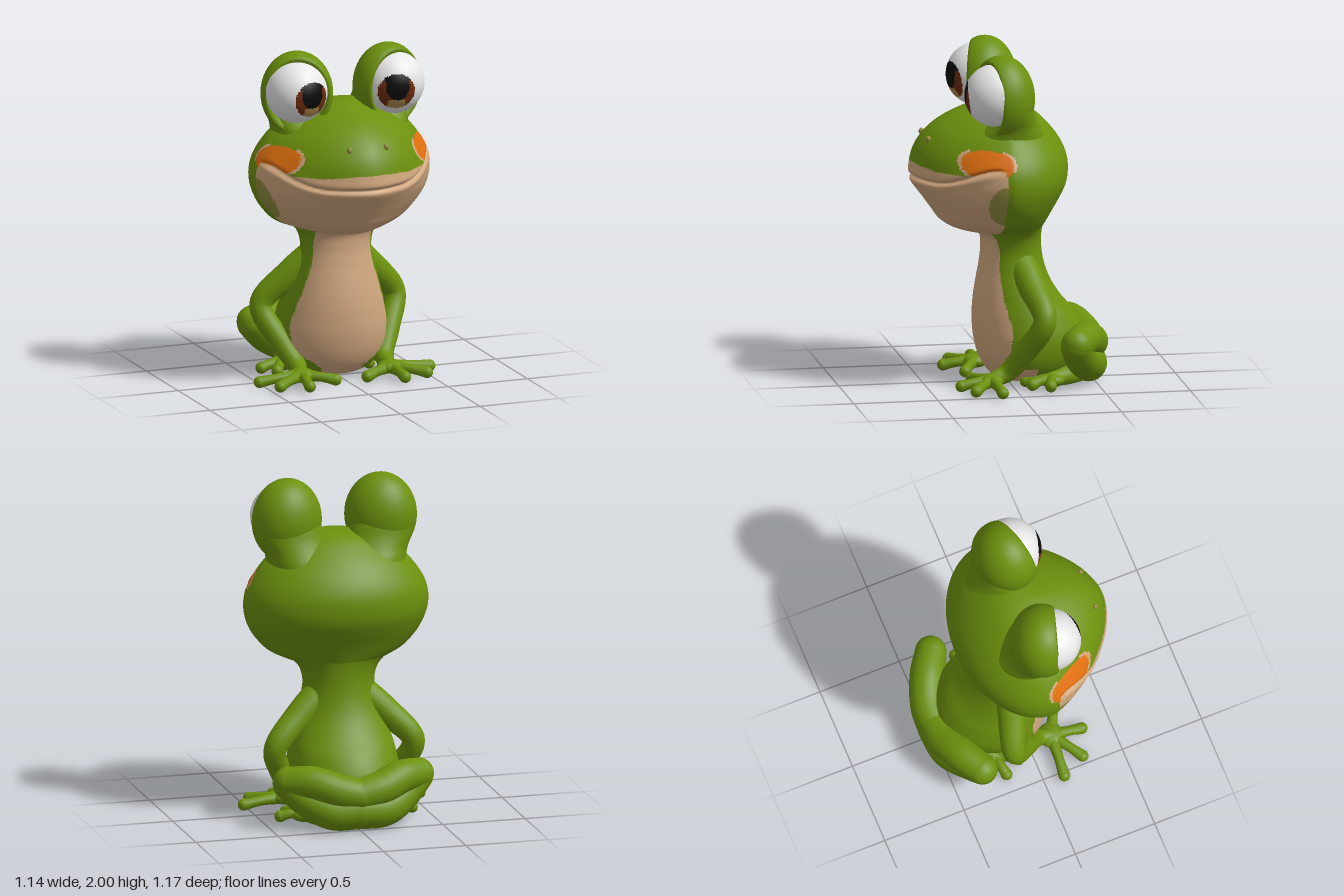
import * as THREE from 'three';
import { mergeGeometries } from 'three/addons/utils/BufferGeometryUtils.js';

const mat = (name, color) => Object.assign(new THREE.MeshStandardMaterial({ color }), { name });
const green = mat('skin green', 0x6c900d);
const tan = mat('belly tan', 0xd2a880);
const orange = mat('cheek orange', 0xe0700f);
const olive = mat('jaw olive', 0x908c3e);
const white = mat('eye white', 0xeeeeee);
const brown = mat('iris brown', 0x6e2c0c);
const amber = mat('iris amber', 0xb08a4c);
const black = mat('pupil black', 0x0a0a0a);

const { smoothstep } = THREE.MathUtils;
const bell = (d, w) => Math.exp(-((d / w) ** 2));
const spow = (v, p) => Math.sign(v) * Math.abs(v) ** p;

// Smooth interpolation through rows of numbers, t from 0 to 1
function sampleRows(rows, t) {
  const f = t * (rows.length - 1), i = Math.min(Math.floor(f), rows.length - 2), u = f - i;
  const at = k => rows[Math.max(0, Math.min(rows.length - 1, k))];
  return rows[i].map((_, c) => {
    const a = at(i - 1)[c], b = at(i)[c], d = at(i + 1)[c], e = at(i + 2)[c];
    return b + 0.5 * u * (d - a + u * (2 * a - 5 * b + 4 * d - e + u * (3 * (b - d) + e - a)));
  });
}

// Stacked closed rings; row = [y, half width, front z, back z, centre z]
function loft(rows, nRows, nSeg, pointed, shape) {
  const pos = [], index = [], v = new THREE.Vector3();
  for (let i = 0; i <= nRows; i++) {
    const [y, w, zf, zb, zc] = sampleRows(rows, i / nRows);
    for (let j = 0; j < nSeg; j++) {
      const a = (j / nSeg) * Math.PI * 2, c = Math.cos(a), s = Math.sin(a);
      if (s > 0) v.set(w * spow(c, pointed ? 1.13 : 1), y, zc + (zf - zc) * s ** (pointed ? 1.45 : 1));
      else v.set(w * c, y, zc + (zc - zb) * s);
      if (shape) shape(v, zc);
      pos.push(v.x, v.y, v.z);
      if (i < nRows) {
        const p = i * nSeg + j, q = i * nSeg + ((j + 1) % nSeg);
        index.push(p, p + nSeg, q, q, p + nSeg, q + nSeg);
      }
    }
  }
  const g = new THREE.BufferGeometry();
  g.setAttribute('position', new THREE.Float32BufferAttribute(pos, 3));
  g.setIndex(index);
  g.computeVertexNormals();
  return g;
}

// Sorts faces into material groups by a rule on the face centre
function paint(g, mats, pick) {
  const p = g.attributes.position, idx = g.index.array, lists = mats.map(() => []);
  for (let i = 0; i < idx.length; i += 3) {
    const t = [idx[i], idx[i + 1], idx[i + 2]];
    const mean = get => t.reduce((sum, k) => sum + p[get](k), 0) / 3;
    lists[mats.indexOf(pick(Math.abs(mean('getX')), mean('getY'), mean('getZ')))].push(...t);
  }
  g.clearGroups();
  let start = 0;
  lists.forEach((l, m) => { g.addGroup(start, l.length, m); start += l.length; });
  g.setIndex(lists.flat());
  return g;
}

// Round limb through points [x, y, z, radius], with rounded ends
function limb(points, s, n = 28, sides = 18) {
  const curve = new THREE.CatmullRomCurve3(points.map(p => new THREE.Vector3(p[0] * s, p[1], p[2])));
  const tube = new THREE.TubeGeometry(curve, n, 1, sides);
  const p = tube.attributes.position, v = new THREE.Vector3();
  for (let i = 0; i <= n; i++) {
    const c = curve.getPointAt(i / n);
    const r = sampleRows(points.map(q => [q[3]]), curve.getUtoTmapping(i / n))[0];
    for (let j = 0; j <= sides; j++) {
      const k = i * (sides + 1) + j;
      v.fromBufferAttribute(p, k).sub(c).multiplyScalar(r).add(c);
      p.setXYZ(k, v.x, v.y, v.z);
    }
  }
  const ends = [points[0], points.at(-1)].map(q =>
    new THREE.SphereGeometry(q[3], sides, 12).translate(q[0] * s, q[1], q[2]));
  return mergeGeometries([tube, ...ends]);
}

const ellipsoid = (x, y, z, rx, ry, rz, n = 40) =>
  new THREE.SphereGeometry(1, n, Math.round(n * 0.7)).scale(rx, ry, rz).translate(x, y, z);

// Height of the smile line, rising towards the cheeks
const mouthY = z => 1.245 + 0.112 * smoothstep(0.5 - z, 0, 0.38);

function headGeometry() {
  const rows = [
    [0.89, 0, 0, 0, 0], [0.897, 0.17, 0.17, -0.18, 0], [0.925, 0.27, 0.31, -0.2, 0.01],
    [0.98, 0.4, 0.402, -0.225, 0.03], [1.05, 0.475, 0.455, -0.26, 0.04], [1.12, 0.522, 0.505, -0.3, 0.05],
    [1.2, 0.55, 0.562, -0.338, 0.05], [1.28, 0.555, 0.58, -0.35, 0.05], [1.36, 0.535, 0.572, -0.342, 0.05],
    [1.44, 0.488, 0.54, -0.308, 0.05], [1.52, 0.42, 0.475, -0.25, 0.05], [1.59, 0.325, 0.375, -0.18, 0.05],
    [1.65, 0.215, 0.235, -0.1, 0.05], [1.682, 0.11, 0.14, -0.02, 0.055], [1.69, 0, 0.06, 0.06, 0.06]];
  const g = loft(rows, 140, 192, true, (v, zc) => {
    // lips and the groove between them
    const d = v.y - mouthY(v.z), fade = smoothstep(v.z, 0.08, 0.2);
    const push = fade * (0.006 * bell(d + 0.03, 0.024) + 0.005 * bell(d - 0.03, 0.025) - 0.026 * bell(d, 0.01));
    const len = Math.hypot(v.x, v.z - zc) || 1;
    v.x += (push * v.x) / len;
    v.z += (push * (v.z - zc)) / len;
  });
  return paint(g, [green, tan, orange, olive], (x, y, z) => {
    const d = y - mouthY(z);
    const cheek = (Math.abs(z - 0.195) / 0.143) ** 2.4 + (Math.abs(y - 1.387) / 0.076) ** 2.4;
    if (x > 0.3 && (d > 0 || z < 0.1) && cheek < 1) return orange;
    if (x > 0.3 && d > 0 && Math.abs(z - 0.195) > 0.09 && cheek < 1.35) return tan;
    if (d > 0) return z > 0.15 && y < Math.max(1.315 + 0.02 * smoothstep(z, 0.45, 0.58), mouthY(z) + 0.02) ? tan : green;
    if (z < 0.09) return green;
    return Math.hypot((z - 0.09) / 0.1, (y - 1.14) / 0.125) < 1 ? olive : tan;
  });
}

function bodyGeometry() {
  const rows = [
    [0.01, 0, -0.1, -0.1, -0.1], [0.02, 0.16, 0.05, -0.24, -0.1], [0.07, 0.26, 0.12, -0.36, -0.1],
    [0.16, 0.315, 0.17, -0.43, -0.1], [0.28, 0.332, 0.198, -0.46, -0.1], [0.4, 0.315, 0.204, -0.402, -0.09],
    [0.5, 0.288, 0.198, -0.318, -0.07], [0.6, 0.255, 0.183, -0.255, -0.04], [0.7, 0.225, 0.165, -0.217, -0.02],
    [0.8, 0.213, 0.155, -0.2, -0.02], [0.89, 0.24, 0.168, -0.2, -0.02], [0.96, 0.31, 0.25, -0.21, -0.02]];
  const belly = [[0.15], [0.27], [0.3], [0.3], [0.275], [0.245], [0.215], [0.19], [0.18], [0.18], [0.2]];
  return paint(loft(rows, 90, 112, false), [green, tan], (x, y, z) => {
    if ((y < 0.1 && x < 0.13 && z > -0.2) || (y < 0.12 && z > -0.13 && z < -0.01)) return tan;
    return y > 0.08 && z > -0.02 && x < sampleRows(belly, Math.min(1, Math.max(0, (y - 0.08) / 0.9)))[0] ? tan : green;
  });
}

// Raised eye socket: a deep cup open to the front
function socketGeometry(s) {
  const pts = [];
  for (let i = 0; i <= 28; i++) {
    const a = (i / 28) * 2.0;
    pts.push(new THREE.Vector2(Math.sin(a), -Math.cos(a)));
  }
  pts.push(new THREE.Vector2(0.87, 0.45), new THREE.Vector2(0.8, 0.4), new THREE.Vector2(0.72, 0.25));
  return new THREE.LatheGeometry(pts, 48).rotateX(Math.PI / 2).scale(0.213, 0.25, 0.187)
    .rotateY(s * 0.3).translate(s * 0.285, 1.75, 0.08);
}

// Flared stalk that carries the socket down into the head
function stalkGeometry(s) {
  const rows = [
    [1.46, 0.22, 0.28, -0.21, 0.03], [1.53, 0.21, 0.24, -0.18, 0.03], [1.59, 0.2, 0.17, -0.143, 0.03],
    [1.65, 0.198, 0.11, -0.116, 0.03], [1.71, 0.192, 0.08, -0.1, 0.03], [1.78, 0.15, 0.06, -0.08, 0.02]];
  return loft(rows, 30, 48, false, v => { v.x += s * (0.2 + 0.085 * smoothstep(v.y, 1.48, 1.72)); });
}

function eyeGeometry(s) {
  return paint(ellipsoid(s * 0.305, 1.77, 0.12, 0.185, 0.185, 0.185, 90), [white, brown, amber, black], (x, y, z) => {
    const dx = x - 0.268, dy = y - 1.75;
    if (z < 0.15 || Math.hypot(dx, dy) > 0.106) return white;
    if (dy > 0.065 || Math.hypot(dx / 0.068, (dy - 0.03) / 0.081) < 1) return black;
    return Math.abs(dx) < 0.05 && dy < -0.045 ? amber : brown;
  });
}

// Flat palm with knobbed digits
function paw(palm, tips, s) {
  const [x, y, z] = palm;
  return mergeGeometries([
    ellipsoid(s * x, y, z, 0.08, 0.042, 0.075, 24),
    ...tips.map(([tx, tz]) => limb([[x, y, z, 0.04],
      [x + (tx - x) * 0.6, 0.05, z + (tz - z) * 0.6, 0.029], [tx, 0.036, tz, 0.035]], s, 10, 12))]);
}

export function createModel() {
  const root = new THREE.Group();
  root.name = 'frog';
  const add = (name, geometry, material) => {
    const m = new THREE.Mesh(geometry, material);
    m.name = name;
    root.add(m);
  };

  add('head', headGeometry(), [green, tan, orange, olive]);
  add('body', bodyGeometry(), [green, tan]);

  for (const s of [1, -1]) {
    const side = s > 0 ? 'left' : 'right';
    add(side + 'EyeSocket', socketGeometry(s), green);
    add(side + 'EyeStalk', stalkGeometry(s), green);
    add(side + 'Eye', eyeGeometry(s), [white, brown, amber, black]);
    add(side + 'Nostril', ellipsoid(s * 0.115, 1.48, 0.487, 0.016, 0.02, 0.016, 14), olive);

    // front limbs
    add(side + 'Arm', limb([[0.09, 0.76, -0.045, 0.09], [0.26, 0.61, -0.1, 0.084], [0.42, 0.43, -0.15, 0.068],
      [0.345, 0.24, -0.05, 0.066], [0.275, 0.1, 0.05, 0.057], [0.28, 0.065, 0.13, 0.042]], s, 44), green);
    add(side + 'Hand', paw([0.28, 0.06, 0.14], [[0.1, 0.23], [0.3, 0.325], [0.462, 0.265], [0.535, 0.12]], s), green);

    // folded hind limbs meeting behind the body
    add(side + 'Thigh', limb([[0, 0.21, -0.487, 0.097], [0.13, 0.24, -0.475, 0.102],
      [0.27, 0.285, -0.42, 0.1], [0.395, 0.28, -0.345, 0.092]], s, 32, 24), green);
    add(side + 'Shin', limb([[0.395, 0.265, -0.34, 0.09], [0.31, 0.185, -0.38, 0.095],
      [0.16, 0.115, -0.455, 0.108], [0, 0.114, -0.472, 0.11]], s, 32, 24), green);
    add(side + 'Ankle', limb([[0.1, 0.07, -0.43, 0.068], [0.2, 0.06, -0.33, 0.058], [0.26, 0.048, -0.22, 0.045]], s), green);
    add(side + 'Foot', paw([0.26, 0.045, -0.22], [[0.14, -0.12], [0.23, -0.07], [0.34, -0.09], [0.4, -0.19]], s), green);
  }
  return root;
}
